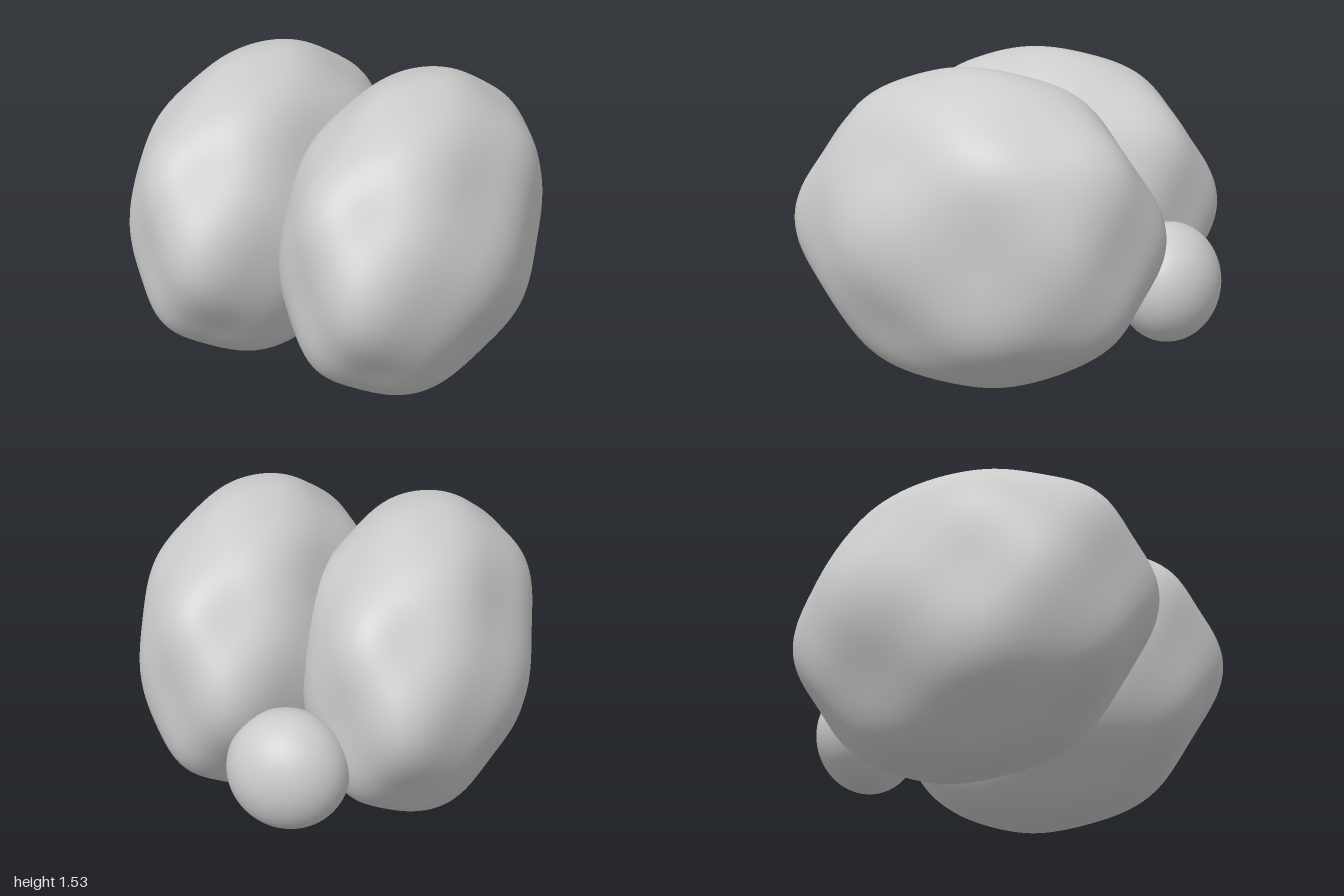
import * as THREE from 'three';
import { mergeVertices } from 'three/addons/utils/BufferGeometryUtils.js';

const material = new THREE.MeshStandardMaterial({ color: 0xcccccc, roughness: 0.8 });

// Ellipsoid with gentle swellings, trimmed flat where it meets its twin at x = 0
function lobeGeometry(side) {
  const source = new THREE.SphereGeometry(1, 128, 96);
  source.deleteAttribute('uv');
  source.deleteAttribute('normal');
  const geometry = mergeVertices(source, 1e-5);
  const p = geometry.attributes.position;
  const v = new THREE.Vector3();
  for (let i = 0; i < p.count; i++) {
    v.fromBufferAttribute(p, i);
    const swell = 1 - 0.05 * Math.sin(5 * v.x) * Math.cos(5 * v.y) * Math.sin(5 * v.z);
    v.multiplyScalar(swell);
    p.setXYZ(i, v.x * 0.552 + side * 0.415, v.y * 0.765 + 0.765, v.z * 0.89 + 0.08);
  }
  // Normals come first so shading stays smooth right up to the crease
  geometry.computeVertexNormals();
  for (let i = 0; i < p.count; i++) {
    if (p.getX(i) * side < 0) p.setX(i, 0);
  }
  return geometry;
}

export function createModel() {
  const model = new THREE.Group();
  model.name = 'lobedBody';

  // Two large lobes side by side
  for (const [name, side] of [['leftLobe', 1], ['rightLobe', -1]]) {
    const lobe = new THREE.Mesh(lobeGeometry(side), material);
    lobe.name = name;
    model.add(lobe);
  }

  // Small rounded lobe low at the back
  const rear = new THREE.Mesh(new THREE.SphereGeometry(1, 64, 48), material);
  rear.name = 'rearLobe';
  rear.scale.set(0.29, 0.29, 0.25);
  rear.position.set(0, 0.49, -0.75);
  model.add(rear);

  return model;
}
